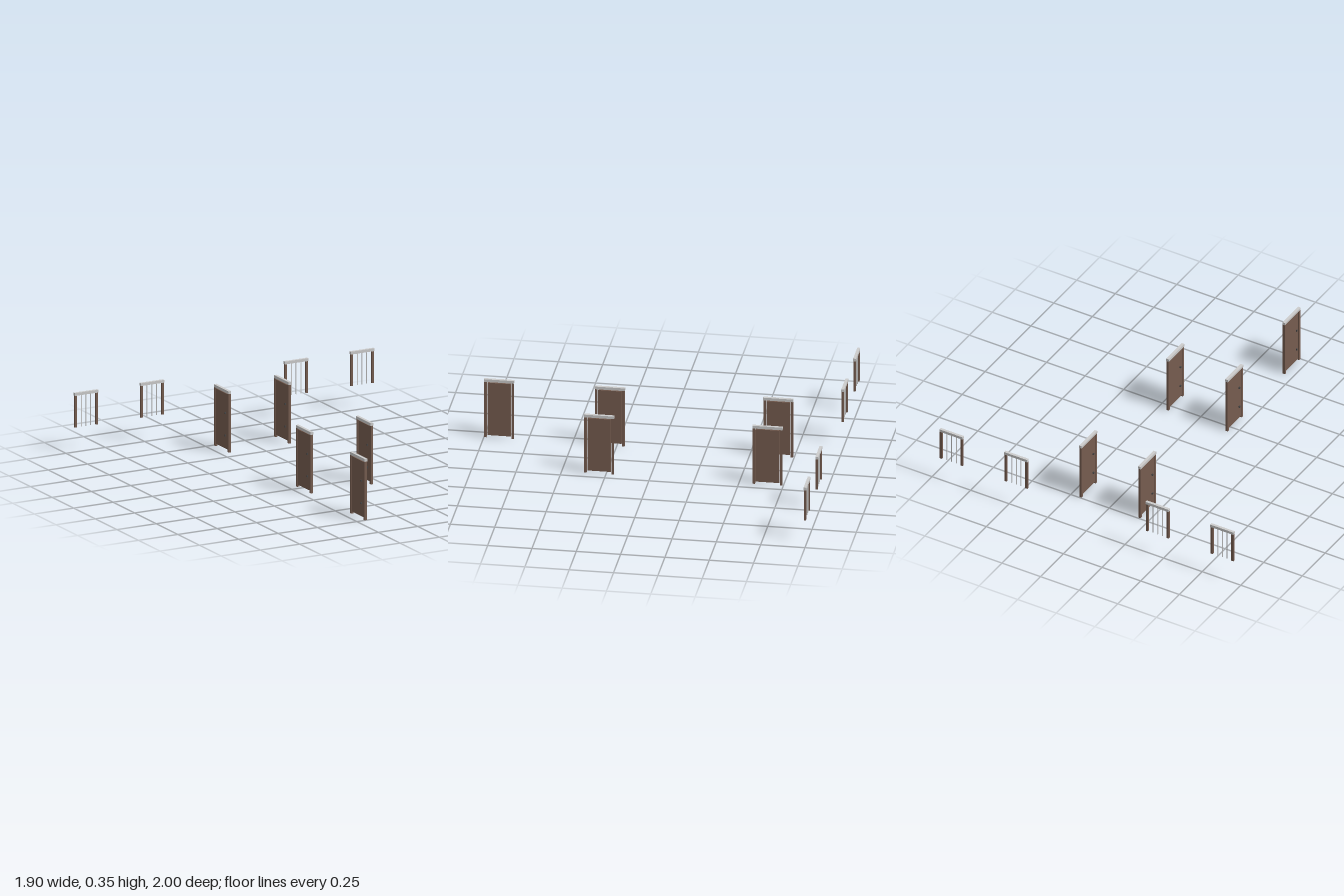
import * as THREE from 'three';

const grey = new THREE.MeshStandardMaterial({ color: 0xcccccc });
const wood = new THREE.MeshStandardMaterial({ color: 0x755c4f });
const iron = new THREE.MeshStandardMaterial({ color: 0x444444 });

function box(parent, name, size, pos, material) {
  const mesh = new THREE.Mesh(new THREE.BoxGeometry(...size), material);
  mesh.name = name;
  mesh.position.set(...pos);
  parent.add(mesh);
}

// Door standing in the y-z plane, with its fittings on the -x side
function createDoor(x, z) {
  const door = new THREE.Group();
  door.name = 'door';
  for (const s of [-1, 1]) box(door, 'doorPost', [0.014, 0.34, 0.014], [0, 0.17, s * 0.077], wood);
  box(door, 'doorLintel', [0.017, 0.016, 0.17], [0, 0.347, 0], grey);
  box(door, 'doorPanel', [0.009, 0.32, 0.132], [0, 0.173, 0], wood);
  for (const y of [0.09, 0.22]) {
    box(door, 'doorHandle', [0.008, 0.01, 0.008], [-0.007, y, 0.045], iron);
  }
  door.position.set(x, 0, z);
  return door;
}

// Barred window: two posts, a lintel and three thin bars
function createWindow(x) {
  const win = new THREE.Group();
  win.name = 'barredWindow';
  for (const s of [-1, 1]) box(win, 'windowPost', [0.014, 0.185, 0.012], [s * 0.067, 0.2375, 0], wood);
  box(win, 'windowLintel', [0.15, 0.016, 0.016], [0, 0.337, 0], grey);
  for (const i of [-1, 0, 1]) box(win, 'windowBar', [0.004, 0.185, 0.004], [i * 0.03, 0.2375, 0], grey);
  win.position.set(x, 0, -0.992);
  return win;
}

export function createModel() {
  const model = new THREE.Group();
  model.name = 'doorsAndWindows';

  // Two facing pairs of doors and a single one at the front
  for (const z of [-0.66, 0.29]) {
    for (const x of [-0.192, 0.19]) model.add(createDoor(x, z));
  }
  model.add(createDoor(-0.192, 0.915));

  // Row of windows along the back
  for (const s of [-1, 1]) {
    for (const x of [0.458, 0.877]) model.add(createWindow(s * x));
  }
  return model;
}
